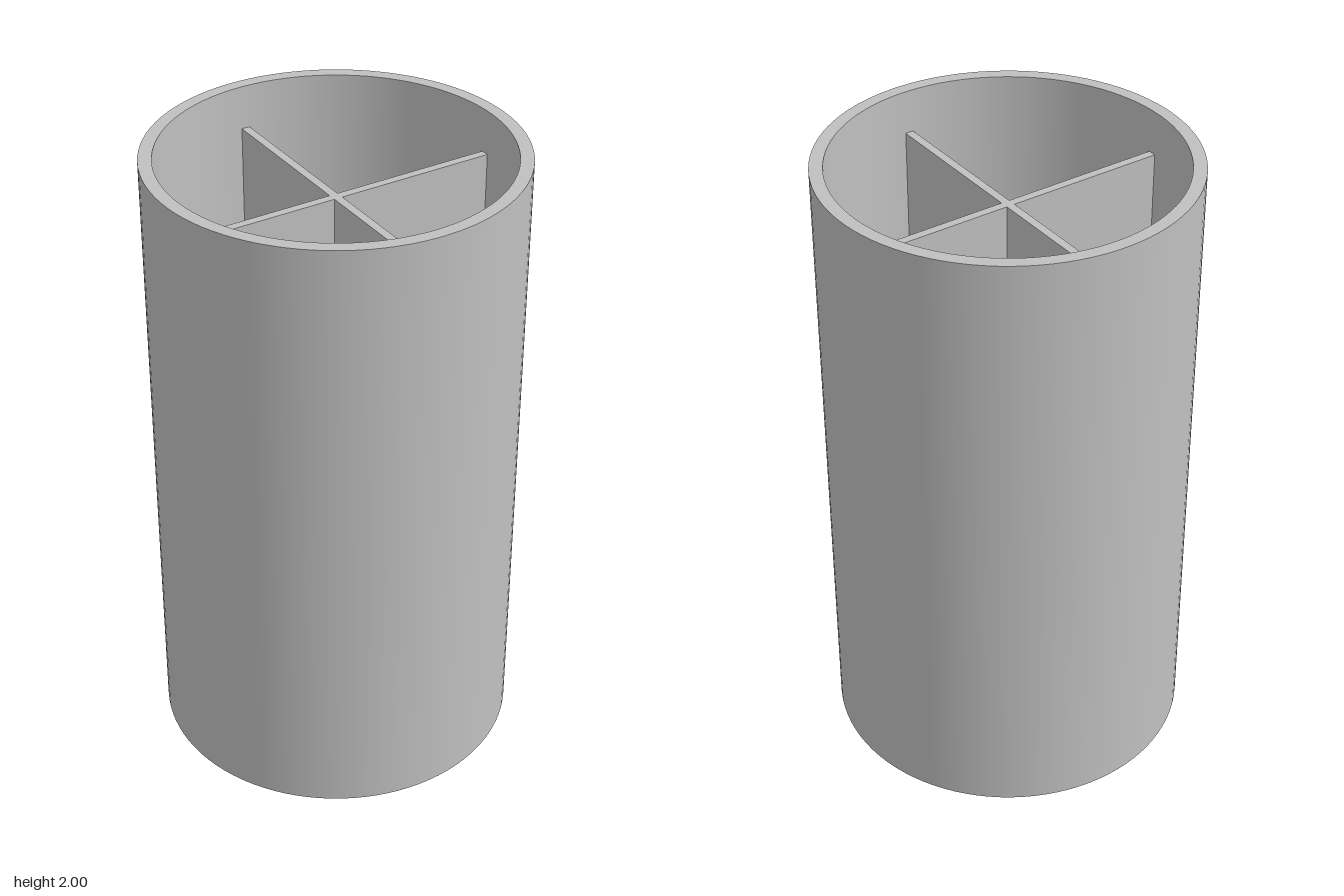
import * as THREE from 'three';
import { mergeGeometries } from 'three/addons/utils/BufferGeometryUtils.js';

const SEGMENTS = 96;

// Lathe each profile edge separately so corners stay sharp while the curve is smooth.
function sharpLathe(profile, segments = SEGMENTS, phi = Math.PI * 2) {
  const strips = [];
  for (let i = 0; i < profile.length - 1; i++) {
    const pair = [profile[i], profile[i + 1]].map(([r, y]) => new THREE.Vector2(r, y));
    strips.push(new THREE.LatheGeometry(pair, segments, 0, phi));
  }
  return strips;
}

// A helical ridge: a multi-turn lathe whose vertices climb with the angle.
function threadGeometry(rootRadius, crestRadius, startY, pitch, turns) {
  const steps = Math.round(72 * turns);
  const profile = [[rootRadius, 0.018], [crestRadius, 0.007], [crestRadius, -0.007], [rootRadius, -0.018]];
  const strips = sharpLathe(profile, steps, Math.PI * 2 * turns);
  for (const strip of strips) {
    const pos = strip.attributes.position;
    for (let v = 0; v < pos.count; v++) {
      const step = Math.floor(v / 2);
      const x = pos.getX(v), z = pos.getZ(v), r = Math.hypot(x, z);
      // fade the ridge into the bore at both ends
      const fade = Math.min(1, step / 10, (steps - step) / 10);
      const scale = (rootRadius + (r - rootRadius) * fade) / r;
      pos.setXYZ(v, x * scale, startY + pos.getY(v) + pitch * turns * step / steps, z * scale);
    }
    strip.computeVertexNormals();
  }
  return mergeGeometries(strips);
}

export function createModel() {
  const model = new THREE.Group();
  model.name = 'dividedContainer';
  const grey = new THREE.MeshStandardMaterial({ color: 0xc0c0c0 });
  grey.name = 'plainGrey';

  const add = (name, geometry) => {
    const mesh = new THREE.Mesh(geometry, grey);
    mesh.name = name;
    model.add(mesh);
    return mesh;
  };

  // Outer wall, open cup above, floor, and stepped socket underneath
  add('body', mergeGeometries(sharpLathe([
    [0.571, 0], [0.571, 2], [0.53, 2], [0.53, 0.39], [0, 0.39],
  ])));
  add('socket', mergeGeometries(sharpLathe([
    [0, 0.35], [0.457, 0.35], [0.457, 0.2], [0.489, 0.2], [0.489, 0], [0.571, 0],
  ])));

  // Screw thread inside the socket
  add('thread', threadGeometry(0.489, 0.469, 0.025, 0.052, 2.8));

  // Crossed dividers, a little below the rim
  const bottom = 0.385, top = 1.86, thickness = 0.027, span = 1.07;
  const divider = add('dividerAcross', new THREE.BoxGeometry(span, top - bottom, thickness));
  divider.position.y = (top + bottom) / 2;
  const half = (span - thickness) / 2;
  for (const side of [1, -1]) {
    const wing = add(side > 0 ? 'dividerFront' : 'dividerBack',
      new THREE.BoxGeometry(thickness, top - bottom, half));
    wing.position.set(0, (top + bottom) / 2, side * (thickness + half) / 2);
  }

  return model;
}
